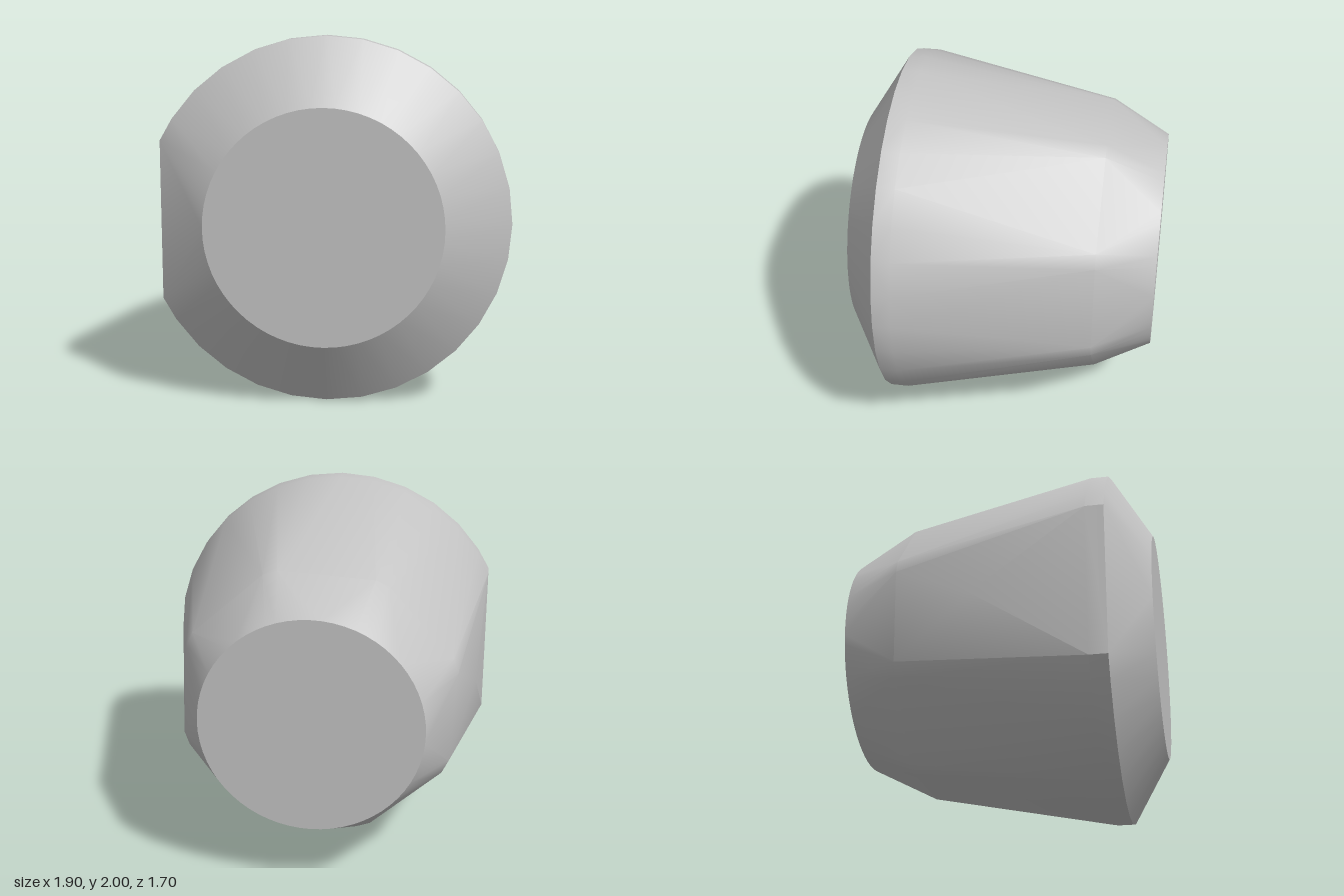
import * as THREE from 'three';
import { ConvexGeometry } from 'three/addons/geometries/ConvexGeometry.js';
import { toCreasedNormals } from 'three/addons/utils/BufferGeometryUtils.js';

const CX = -0.05, CY = 1; // axis of the body
const RAD = Math.PI / 180;

const polar = (r, deg, z) =>
  new THREE.Vector3(CX + r * Math.cos(deg * RAD), CY + r * Math.sin(deg * RAD), z);

function ring(r, z, count) {
  return Array.from({ length: count }, (_, i) => polar(r, (i * 360) / count, z));
}

// Rim circle with a flat cut on its right side
function cutRing(r, z, count, cutX) {
  const points = ring(r, z, count).filter((p) => p.x > cutX);
  const half = Math.sqrt(r * r - (cutX - CX) ** 2);
  points.push(new THREE.Vector3(cutX, CY + half, z), new THREE.Vector3(cutX, CY - half, z));
  return points;
}

// Octagon with narrow bevelled corners
function bevelledOctagon(r, z) {
  const points = [];
  for (let i = 0; i < 8; i++) {
    const corner = 26 + i * 45;
    points.push(polar(r, corner - 3, z), polar(r, corner + 3, z));
  }
  return points;
}

export function createModel() {
  const group = new THREE.Group();
  group.name = 'taperedBlock';

  const grey = new THREE.MeshStandardMaterial({ color: 0xc4c4c4 });
  grey.name = 'lightGrey';

  // Convex skin over the cross-sections, front to back
  const points = [
    ...ring(0.64, 0.85, 64),
    ...cutRing(1, 0.63, 32, -0.95),
    ...cutRing(1, 0.53, 32, -0.95),
    new THREE.Vector3(-0.905, CY, -0.1), // tip of the side flat
    ...bevelledOctagon(0.79, -0.53),
    ...ring(0.61, -0.85, 64),
  ];
  const body = new THREE.Mesh(toCreasedNormals(new ConvexGeometry(points), 0.4), grey);
  body.name = 'body';
  group.add(body);
  return group;
}
